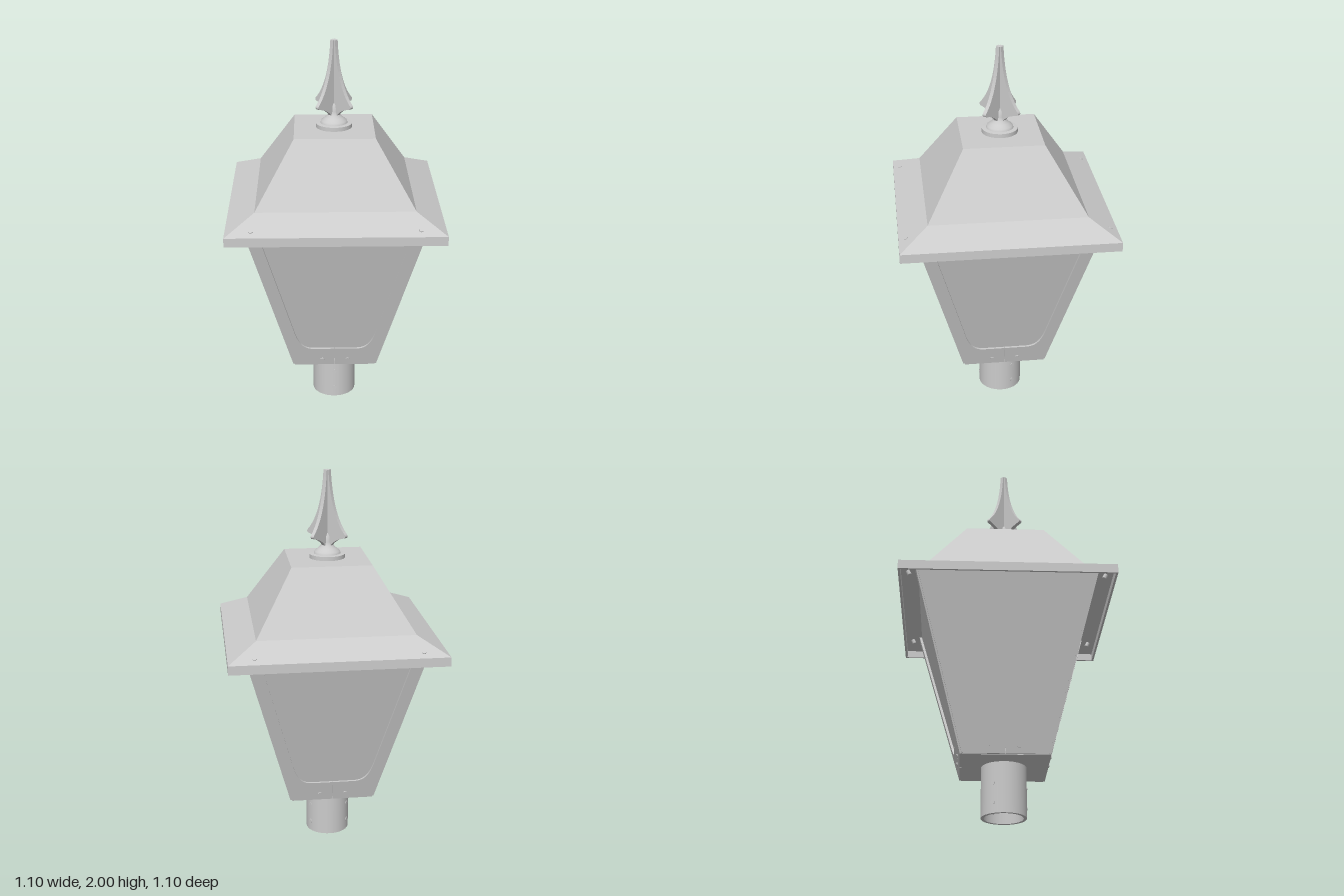
import * as THREE from 'three';

const flat = new THREE.MeshStandardMaterial({ color: 0xcccccc, flatShading: true, side: THREE.DoubleSide });
const smooth = new THREE.MeshStandardMaterial({ color: 0xcccccc, side: THREE.DoubleSide });

const BASE = 0.265, EAVE = 1.17, SLOPE = 0.266;
// Half width of the tapered body at a height
const half = (y) => 0.225 + SLOPE * (y - BASE);

function add(parent, name, geometry, material = flat) {
  const mesh = new THREE.Mesh(geometry, material);
  mesh.name = name;
  parent.add(mesh);
  return mesh;
}

// Square solid turned from a [half width, y] profile
function squareLathe(profile) {
  const pts = profile.map(([h, y]) => new THREE.Vector2(h * Math.SQRT2, y));
  return new THREE.LatheGeometry(pts, 4).rotateY(Math.PI / 4).toNonIndexed();
}

// Round part with crisp edges: every profile corner splits the surface
function roundLathe(parent, name, profile) {
  for (let i = 0; i < profile.length - 1; i++) {
    const pts = [profile[i], profile[i + 1]].map((p) => new THREE.Vector2(...p));
    add(parent, name, new THREE.LatheGeometry(pts, 40), smooth);
  }
}

// Upright plate leaning out along the taper of the body
function leaningPlate(shape, depth, inset) {
  const g = new THREE.ExtrudeGeometry(shape, { depth, bevelEnabled: false, curveSegments: 12 });
  const p = g.attributes.position;
  for (let i = 0; i < p.count; i++) {
    p.setZ(i, p.getZ(i) - depth - inset + half(p.getY(i)));
  }
  g.computeVertexNormals();
  return g;
}

// Half of a side frame: foot strip, rounded corner and upright stile
function frameHalfShape(s) {
  const stile = (y) => half(y) - 0.07;
  const shape = new THREE.Shape();
  shape.moveTo(s * 0.001, BASE);
  shape.lineTo(s * (half(BASE) - 0.009), BASE);
  shape.lineTo(s * (half(EAVE) - 0.009), EAVE);
  shape.lineTo(s * stile(EAVE), EAVE);
  shape.lineTo(s * stile(0.49), 0.49);
  shape.bezierCurveTo(s * stile(0.43), 0.43, s * 0.175, 0.377, s * 0.115, 0.377);
  shape.lineTo(s * 0.001, 0.377);
  shape.closePath();
  return shape;
}

// Round-headed screw whose axis runs along local y
function screw(parent, x, y, z, tiltX, length = 0.03, r = 0.011) {
  const m = add(parent, 'screw', new THREE.CylinderGeometry(r, r, length, 14), smooth);
  m.position.set(x, y, z);
  m.rotation.x = tiltX;
  return m;
}

function createBody() {
  const body = new THREE.Group();
  body.name = 'body';

  const glass = new THREE.Shape();
  glass.moveTo(-half(0.3) + 0.02, 0.3);
  glass.lineTo(half(0.3) - 0.02, 0.3);
  glass.lineTo(half(EAVE) - 0.02, EAVE);
  glass.lineTo(-half(EAVE) + 0.02, EAVE);
  glass.closePath();

  for (let i = 0; i < 4; i++) {
    const side = new THREE.Group();
    side.name = 'side';
    side.rotation.y = (i * Math.PI) / 2;
    add(side, 'glassPane', leaningPlate(glass, 0.006, 0.014));
    for (const s of [-1, 1]) {
      add(side, 'frameHalf', leaningPlate(frameHalfShape(s), 0.013, 0));
      screw(side, s * 0.068, 0.305, half(0.305) - 0.011, Math.PI / 2 + Math.atan(SLOPE));
    }
    body.add(side);
  }

  const floor = add(body, 'floorPlate', new THREE.BoxGeometry(0.43, 0.018, 0.43));
  floor.position.y = 0.271;
  return body;
}

function createRoof() {
  const roof = new THREE.Group();
  roof.name = 'roof';
  // Hollow shell: outside going up, inside coming back down
  add(roof, 'roofShell', squareLathe([
    [0.537, 1.108], [0.548, 1.108], [0.548, 1.155], [0.402, 1.23], [0.206, 1.545], [0, 1.545],
    [0, 1.533], [0.199, 1.533], [0.392, 1.221], [0.537, 1.147], [0.537, 1.108],
  ]));
  for (const x of [-0.417, 0.417]) {
    for (const s of [-1, 1]) screw(roof, x, 1.16, s * 0.503, s * 0.47, 0.04);
  }
  return roof;
}

function createFinial() {
  const finial = new THREE.Group();
  finial.name = 'finial';
  roundLathe(finial, 'finialDisc', [[0.093, 1.545], [0.093, 1.566], [0.07, 1.568]]);
  const neck = [[0.07, 1.568], [0.066, 1.58], [0.048, 1.594], [0.032, 1.61], [0.025, 1.63], [0.024, 1.66], [0, 1.7]];
  add(finial, 'finialNeck', new THREE.LatheGeometry(neck.map((p) => new THREE.Vector2(...p)), 32), smooth);

  // Four swept blades on the diagonals
  const blade = new THREE.Shape();
  blade.moveTo(0, 1.6);
  blade.lineTo(0.026, 1.605);
  blade.quadraticCurveTo(0.05, 1.645, 0.118, 1.66);
  blade.quadraticCurveTo(0.13, 1.668, 0.12, 1.68);
  blade.bezierCurveTo(0.07, 1.73, 0.026, 1.83, 0.016, 2);
  blade.lineTo(0, 2);
  blade.closePath();
  for (let i = 0; i < 4; i++) {
    const g = new THREE.ExtrudeGeometry(blade, { depth: 0.02, bevelEnabled: false, curveSegments: 14 });
    g.translate(0, 0, -0.01);
    add(finial, 'finialBlade', g).rotation.y = Math.PI / 4 + (i * Math.PI) / 2;
  }
  return finial;
}

function createPost() {
  const post = new THREE.Group();
  post.name = 'post';
  roundLathe(post, 'postSleeve', [[0.1, 0.264], [0.1, 0], [0.116, 0], [0.116, 0.264]]);
  // Two rows of three set screws
  for (let i = 0; i < 3; i++) {
    const ring = new THREE.Group();
    ring.name = 'setScrews';
    ring.rotation.y = (i * 2 * Math.PI) / 3;
    for (const y of [0.055, 0.155]) screw(ring, 0, y, 0.107, Math.PI / 2, 0.022);
    post.add(ring);
  }
  return post;
}

export function createModel() {
  const model = new THREE.Group();
  model.name = 'postLantern';
  model.add(createPost(), createBody(), createRoof(), createFinial());
  return model;
}
